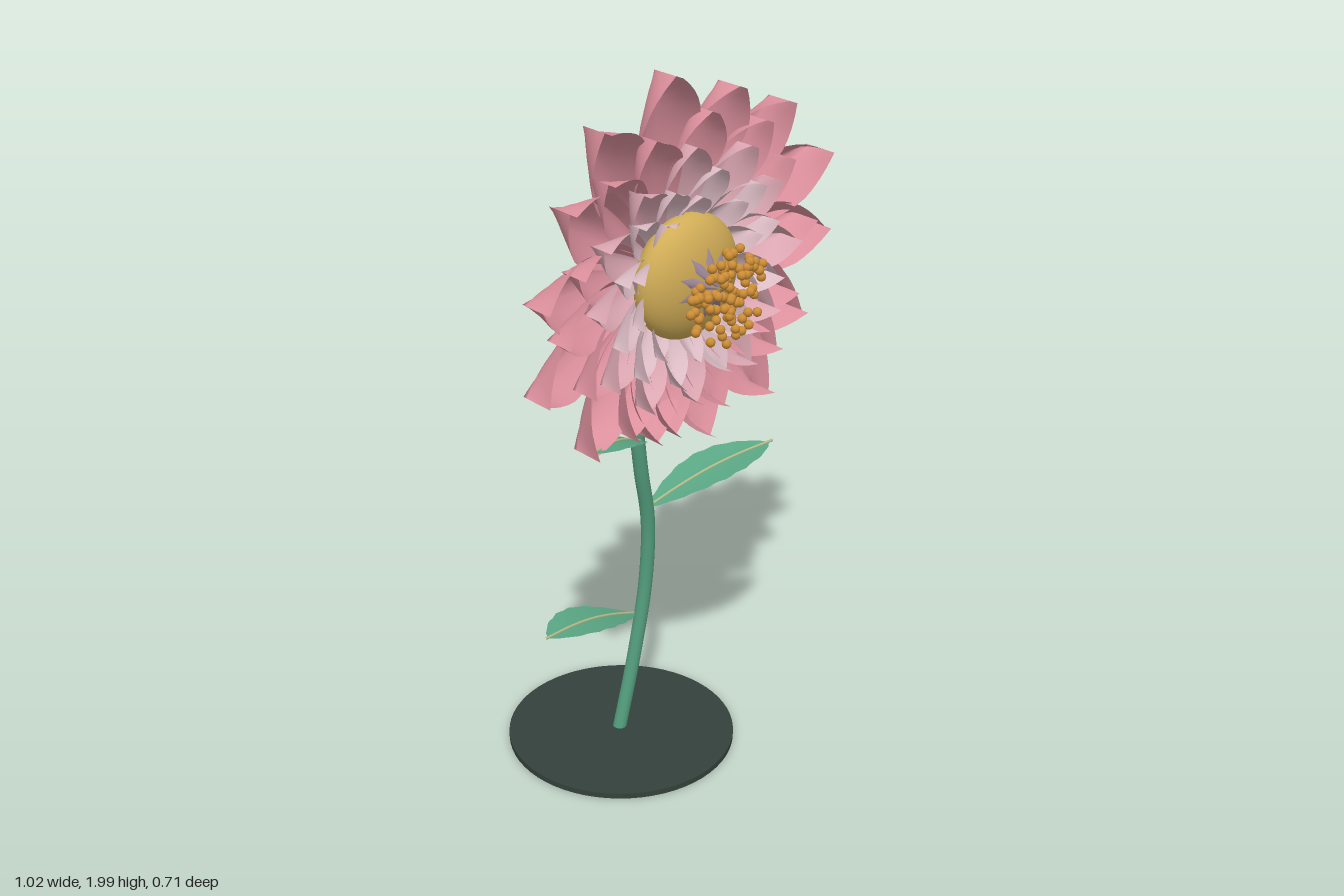
import * as THREE from 'three';

const mat = (name, color, side = THREE.FrontSide) => {
  const m = new THREE.MeshStandardMaterial({ color, side });
  m.name = name;
  return m;
};
const V = (x, y, z) => new THREE.Vector3(x, y, z);

// Repeatable scatter value in 0..1
const scatter = n => {
  const s = Math.sin(n * 127.1 + 11.7) * 43758.5453;
  return s - Math.floor(s);
};

// Sheet whose points come from rule(u along 0..1, v across -1..1)
function sheet(nu, nv, rule) {
  const g = new THREE.PlaneGeometry(2, 1, nv, nu);
  const p = g.attributes.position;
  for (let i = 0; i < p.count; i++) {
    const q = rule(p.getY(i) + 0.5, p.getX(i));
    p.setXYZ(i, q.x, q.y, q.z);
  }
  g.computeVertexNormals();
  return g;
}

// Cupped petal along +y, edges folded forward (+z), narrowing to a keeled tip
function petalGeometry({ length, width, zBase, zMid, zTip, cup }) {
  const start = 0.062;
  return sheet(18, 8, (u, v) => {
    const grow = 0.16 + 0.84 * Math.sin(Math.PI / 2 * Math.min(1, u / 0.64)) ** 1.15;
    const taper = u < 0.64 ? 1 : 1 - ((u - 0.64) / 0.36) ** 2.2;
    const mid = (1 - u) ** 2 * zBase + 2 * u * (1 - u) * zMid + u * u * zTip;
    const depth = cup * Math.min(1, 0.15 + 1.1 * u);
    return V(v * width * grow * taper,
      start + u * (length - start),
      mid + depth * Math.abs(v) ** 1.6 + 0.012 * v * u);
  });
}

export function createModel() {
  const root = new THREE.Group();
  const DS = THREE.DoubleSide;
  const m = {
    base: mat('darkBase', 0x34413b),
    stem: mat('stemGreen', 0x55a07f),
    leaf: mat('leafGreen', 0x5ba986, DS),
    vein: mat('veinPale', 0xb5c08c),
    outer: mat('petalPink', 0xdc909d, DS),
    mid: mat('petalSoftPink', 0xdba6b1, DS),
    inner: mat('petalPale', 0xdcbcc4, DS),
    sliver: mat('innerMauve', 0x9d8698, DS),
    heart: mat('heartYellow', 0xd1ad57),
    pollen: mat('pollenAmber', 0xcb8c35),
  };
  const add = (parent, name, geo, material) => {
    const mesh = new THREE.Mesh(geo, material);
    mesh.name = name;
    parent.add(mesh);
    return mesh;
  };

  // Base disc
  add(root, 'base', new THREE.CylinderGeometry(0.328, 0.328, 0.016, 64), m.base)
    .position.set(-0.05, 0.012, -0.028);

  // Curving stem
  const stem = new THREE.CatmullRomCurve3([
    V(-0.05, 0.015, -0.035), V(-0.005, 0.26, -0.018), V(0.02, 0.5, 0.002),
    V(0.01, 0.7, 0.02), V(-0.035, 0.88, 0.038), V(-0.06, 1.03, 0.048),
    V(-0.055, 1.18, 0.05), V(-0.025, 1.32, 0.048), V(-0.012, 1.44, 0.055)]);
  add(root, 'stem', new THREE.TubeGeometry(stem, 60, 0.02, 14), m.stem);

  // Calyx sleeve behind the bloom
  const calyxAxis = new THREE.LineCurve3(V(0.0, 1.23, 0.022), V(-0.012, 1.385, 0.042));
  const calyx = add(root, 'calyx', new THREE.CylinderGeometry(0.022, 0.032, 0.16, 14), m.stem);
  calyx.position.copy(calyxAxis.getPoint(0.5));
  calyx.quaternion.setFromUnitVectors(V(0, 1, 0), calyxAxis.getTangent(0));
  const stub = add(root, 'stemTip', new THREE.CylinderGeometry(0.022, 0.022, 0.08, 14), m.stem);
  stub.position.set(-0.012, 1.405, 0.05);

  // Leaves with fine raised midribs
  const leaf = (name, a, b, half, arch) => {
    const g = new THREE.Group();
    g.name = name;
    const across = V(b.z - a.z, 0, a.x - b.x).normalize();
    const spine = u => a.clone().lerp(b, u).add(V(0, arch * Math.sin(Math.PI * u), 0));
    const blade = sheet(24, 6, (u, v) => {
      const w = half * Math.max(0, Math.sin(Math.PI * u ** 1.1)) ** 0.7 * (1 + 0.04 * Math.sin(u * 40));
      return spine(u).addScaledVector(across, v * w).add(V(0, 0.006 * v * v * Math.sin(Math.PI * u), 0));
    });
    add(g, 'blade', blade, m.leaf);
    const rib = new THREE.CatmullRomCurve3([0, 0.25, 0.5, 0.75, 1.03].map(u => spine(u).add(V(0, 0.002, 0))));
    add(g, 'midrib', new THREE.TubeGeometry(rib, 16, 0.004, 6), m.vein);
    root.add(g);
  };
  leaf('leftLeaf', V(0.0, 0.745, 0.03), V(0.385, 0.852, 0.13), 0.088, 0.018);
  leaf('lowerRightLeaf', V(-0.05, 0.425, 0.025), V(-0.41, 0.518, 0.07), 0.08, 0.02);
  leaf('upperRightLeaf', V(-0.055, 0.975, 0.06), V(-0.32, 1.06, 0.16), 0.07, 0.018);

  // Bloom, nodding slightly forward
  const bloom = new THREE.Group();
  bloom.name = 'bloom';
  bloom.position.set(-0.01, 1.472, 0);
  bloom.rotation.x = 0.055;
  root.add(bloom);

  // Outer petals vary in direction (degrees) and reach
  const outer = { length: 0.52, width: 0.096, zBase: 0.1, zMid: 0.03, zTip: 0.12, cup: 0.086 };
  const outerGeo = petalGeometry(outer);
  const outerLayout = [
    [99.5, 0.54], [73.5, 0.49], [50, 0.52], [25, 0.555], [2, 0.52], [-25, 0.5], [-51, 0.54],
    [-77, 0.495], [-102, 0.45], [-128, 0.52], [-157, 0.535], [176, 0.5], [148, 0.495], [126, 0.54]];
  for (const [angle, reach] of outerLayout) {
    const petal = add(bloom, 'outerPetal', outerGeo, m.outer);
    petal.rotation.z = THREE.MathUtils.degToRad(angle - 90);
    petal.scale.y = reach / outer.length;
  }

  // Inner rings of petals
  const rings = [
    { name: 'secondPetal', n: 14, at: 86, length: 0.43, width: 0.078, zBase: 0.105, zMid: 0.075, zTip: 0.145, cup: 0.075, material: m.outer },
    { name: 'thirdPetal', n: 12, at: 95, length: 0.355, width: 0.064, zBase: 0.115, zMid: 0.1, zTip: 0.17, cup: 0.064, material: m.mid },
    { name: 'fourthPetal', n: 12, at: 80, length: 0.29, width: 0.05, zBase: 0.125, zMid: 0.12, zTip: 0.195, cup: 0.048, material: m.inner },
    { name: 'fifthPetal', n: 10, at: 92, length: 0.225, width: 0.042, zBase: 0.13, zMid: 0.13, zTip: 0.205, cup: 0.035, material: m.inner },
  ];
  for (const r of rings) {
    const geo = petalGeometry(r);
    for (let i = 0; i < r.n; i++) {
      const petal = add(bloom, r.name, geo, r.material);
      petal.rotation.z = THREE.MathUtils.degToRad(r.at - 90 - i * 360 / r.n + 3 * Math.sin(i * 4.1));
      petal.scale.y = 1 + 0.04 * Math.sin(i * 2.7);
    }
  }

  // Domed heart, showing through between the petal bases at the back
  const heart = add(bloom, 'heart', new THREE.SphereGeometry(0.168, 40, 24), m.heart);
  heart.scale.z = 0.5;
  heart.position.z = 0.177;

  // Slim inner petals leaning in to a point
  const sliver = sheet(4, 2, (u, v) => V(
    v * 0.014 * Math.sin(Math.PI * (0.15 + 0.8 * u)), 0.12 - 0.11 * u, 0.232 + 0.066 * u - 0.012 * Math.abs(v)));
  for (let i = 0; i < 10; i++) add(bloom, 'innerSliver', sliver, m.sliver).rotation.z = i * Math.PI / 5;

  // Pollen beads floating in front, scattered unevenly
  const bead = new THREE.SphereGeometry(0.0125, 10, 8);
  for (let i = 0; i < 90; i++) {
    const r = 0.142 * ((i + 0.5) / 90) ** 0.65;
    const t = scatter(i) * Math.PI * 2;
    add(bloom, 'pollen', bead, m.pollen).position.set(
      r * Math.cos(t), r * Math.sin(t) * 0.9 - 0.006, 0.318 + 0.022 * scatter(i + 200));
  }
  return root;
}
